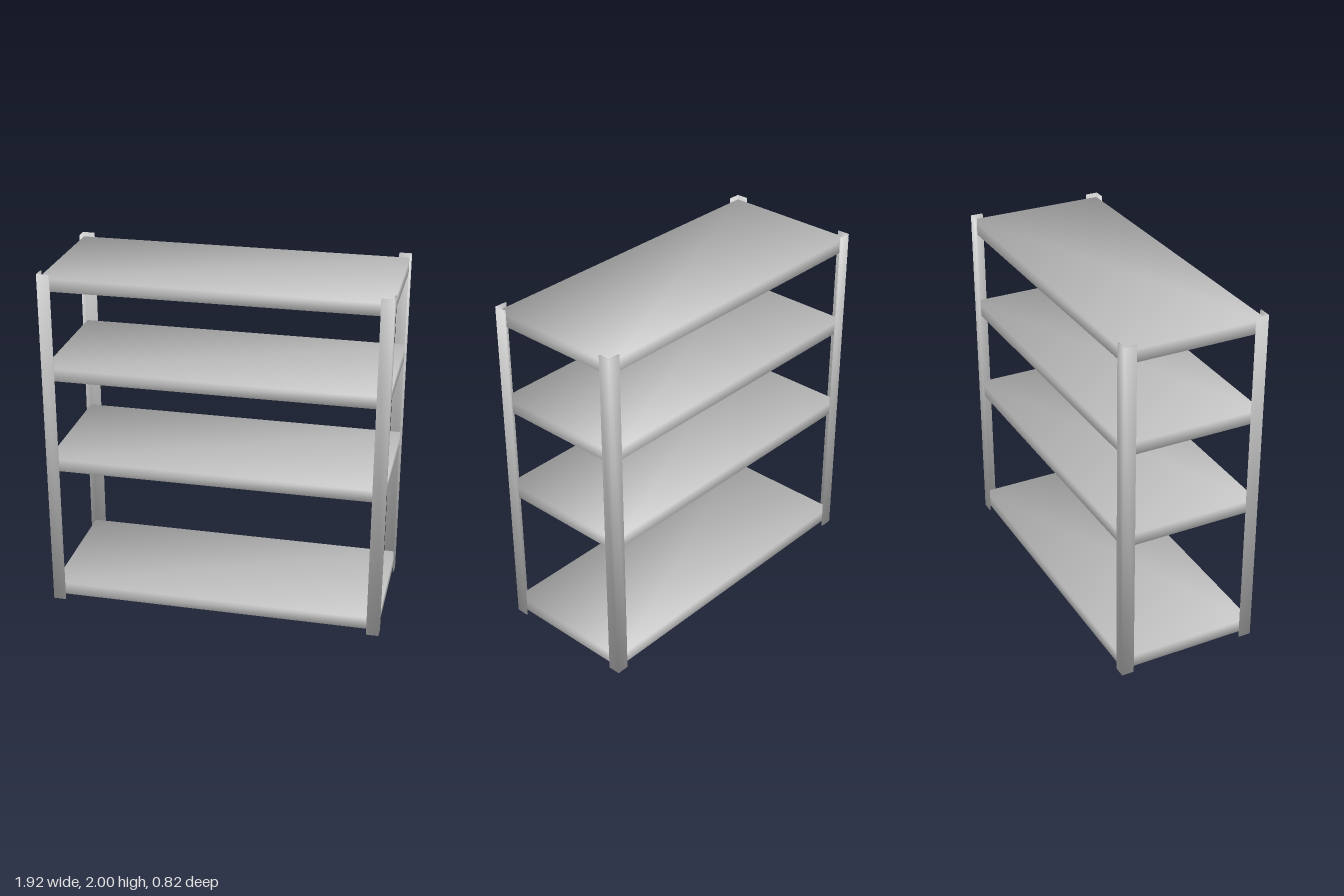
import * as THREE from 'three';
import { toCreasedNormals } from 'three/addons/utils/BufferGeometryUtils.js';

const HEIGHT = 2, HALF_X = 0.962, HALF_Z = 0.409; // outer size of the frame
const LEG = 0.071, GAUGE = 0.007;                 // angle-iron leg width and thickness
const SHELF_THICKNESS = 0.071;
const SHELF_CENTRES = [0.07, 0.871, 1.421, 1.94];

// normals blended around every edge
const soften = (geometry) => toCreasedNormals(geometry, Math.PI);

// L-shaped upright, outer corner at the origin, legs along +x and +z
function uprightGeometry() {
  const outline = [[0, 0], [LEG, 0], [LEG, GAUGE], [GAUGE, GAUGE], [GAUGE, LEG], [0, LEG]];
  const shape = new THREE.Shape(outline.map(([x, z]) => new THREE.Vector2(x, z)));
  const geometry = new THREE.ExtrudeGeometry(shape, { depth: HEIGHT, bevelEnabled: false });
  geometry.rotateX(Math.PI / 2).translate(0, HEIGHT, 0);
  return soften(geometry);
}

export function createModel() {
  const model = new THREE.Group();
  model.name = 'shelvingRack';
  const material = new THREE.MeshStandardMaterial({ color: 0xcccccc });

  // four corner uprights, each turned to wrap its corner
  const upright = uprightGeometry();
  const corners = [
    ['backRightUpright', -1, -1, 0],
    ['frontRightUpright', -1, 1, Math.PI / 2],
    ['frontLeftUpright', 1, 1, Math.PI],
    ['backLeftUpright', 1, -1, -Math.PI / 2],
  ];
  for (const [name, sx, sz, turn] of corners) {
    const mesh = new THREE.Mesh(upright, material);
    mesh.name = name;
    mesh.position.set(sx * HALF_X, 0, sz * HALF_Z);
    mesh.rotation.y = turn;
    model.add(mesh);
  }

  // shelves held inside the uprights
  const shelf = soften(new THREE.BoxGeometry(
    2 * (HALF_X - GAUGE), SHELF_THICKNESS, 2 * (HALF_Z - GAUGE)));
  SHELF_CENTRES.forEach((y, i) => {
    const mesh = new THREE.Mesh(shelf, material);
    mesh.name = `shelf${i + 1}`;
    mesh.position.y = y;
    model.add(mesh);
  });

  return model;
}
